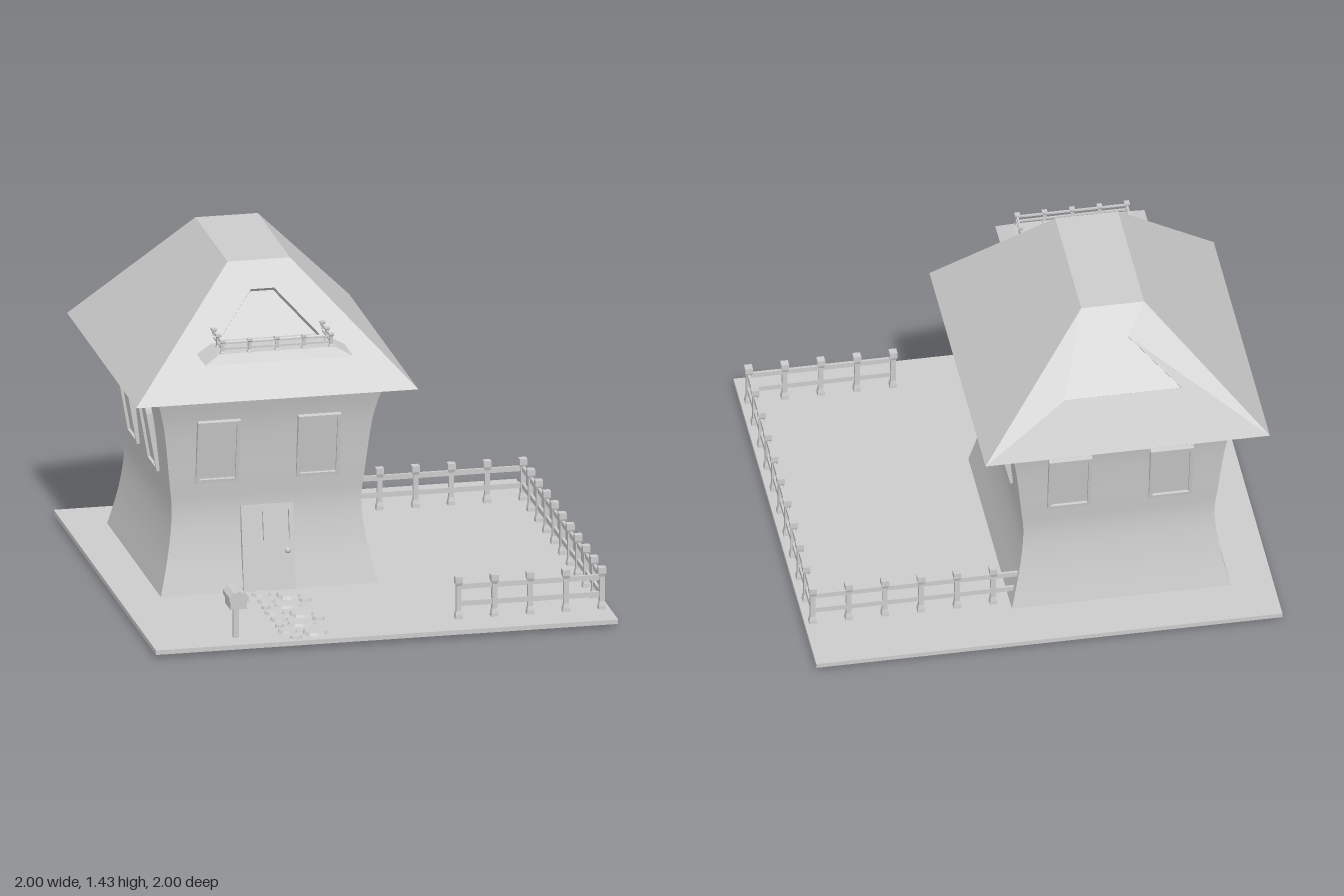
import * as THREE from 'three';

const material = new THREE.MeshStandardMaterial({ color: 0xcccccc });
const V = (x, y, z) => new THREE.Vector3(x, y, z);

function add(parent, geometry, name, x = 0, y = 0, z = 0) {
  const mesh = new THREE.Mesh(geometry, material);
  mesh.name = name;
  mesh.position.set(x, y, z);
  parent.add(mesh);
  return mesh;
}

function group(parent, name, x = 0, y = 0, z = 0) {
  const g = new THREE.Group();
  g.name = name;
  g.position.set(x, y, z);
  parent.add(g);
  return g;
}

// Flat-sided surface from a list of four-cornered faces
function quads(faces) {
  const points = faces.flatMap(([a, b, c, d]) => [a, b, c, a, c, d]);
  const geometry = new THREE.BufferGeometry().setFromPoints(points);
  geometry.computeVertexNormals();
  return geometry;
}

const extrude = (shape, depth) =>
  new THREE.ExtrudeGeometry(shape, { depth, bevelEnabled: false, curveSegments: 12 });

// Rectangle, or a panel with a pointed-round top, standing on y = y0
function panel(x0, y0, x1, y1, arch = 0) {
  const s = new THREE.Shape();
  s.moveTo(x0, y0);
  s.lineTo(x1, y0);
  s.lineTo(x1, y1 - arch);
  if (arch) {
    const m = (x0 + x1) / 2;
    s.bezierCurveTo(x1 - 0.01, y1 - arch * 0.3, m + 0.04, y1, m, y1);
    s.bezierCurveTo(m - 0.04, y1, x0 + 0.01, y1 - arch * 0.3, x0, y1 - arch);
  } else s.lineTo(x0, y1);
  s.closePath();
  return s;
}

// One curved wall facing +z; side walls swap the two half widths
function wall(extraWidth, extraDepth) {
  const curve = new THREE.SplineCurve([
    [0.47, 0.035], [0.43, 0.21], [0.41, 0.38], [0.423, 0.53], [0.452, 0.77], [0.495, 0.932],
  ].map(p => new THREE.Vector2(...p)));
  const positions = [], index = [], rows = 24;
  for (let i = 0; i <= rows; i++) {
    const { x: r, y } = curve.getPoint(i / rows);
    positions.push(-r - extraWidth, y, r + extraDepth, r + extraWidth, y, r + extraDepth);
    const k = i * 2;
    if (i < rows) index.push(k, k + 1, k + 3, k, k + 3, k + 2);
  }
  const geometry = new THREE.BufferGeometry();
  geometry.setAttribute('position', new THREE.Float32BufferAttribute(positions, 3));
  geometry.setIndex(index);
  geometry.computeVertexNormals();
  return geometry;
}

function addWindow(parent, x, z, tilt, width, height, arch) {
  const g = group(parent, 'window', x, 0.515, z);
  g.rotation.x = tilt;
  const w = width / 2, t = 0.015;
  const frame = panel(-w, 0, w, height, arch);
  frame.holes.push(panel(-w + t, t, w - t, height - t, arch));
  add(g, extrude(frame, 0.05), 'windowFrame', 0, 0, -0.05);
  add(g, extrude(panel(-w + t, t, w - t, height - t, arch), 0.038), 'windowPane', 0, 0, -0.05);
}

function addDoor(parent) {
  const g = group(parent, 'door', 0, 0.035, 0.535);
  g.rotation.x = -0.16;
  const face = panel(-0.113, 0, 0.113, 0.37);
  for (const x of [-0.056, 0.056]) face.holes.push(panel(x - 0.037, 0.215, x + 0.037, 0.34));
  add(g, extrude(face, 0.015), 'doorFace', 0, 0, -0.015);
  add(g, extrude(panel(-0.113, 0, 0.113, 0.37), 0.035), 'doorSlab', 0, 0, -0.05);
  add(g, new THREE.SphereGeometry(0.013, 16, 12), 'doorKnob', 0.08, 0.17, 0.014);
}

// Sloping roof end with a recessed trapezoid panel
function roofEnd(lowX, lowZ, highX, highZ, depth) {
  const ring = (x0, y0, z0, x1, y1, z1) =>
    [V(-x0, y0, z0), V(x0, y0, z0), V(x1, y1, z1), V(-x1, y1, z1)];
  const outer = ring(0.61, 0.93, 0.678, 0.135, 1.435, 0.315);
  const inner = ring(lowX, 1.15, lowZ, highX, 1.33, highZ);
  const inward = V(0, -0.58, -0.81).multiplyScalar(depth);
  const back = inner.map(p => p.clone().add(inward));
  const faces = [back];
  for (let i = 0; i < 4; i++) {
    const j = (i + 1) % 4;
    faces.push([outer[i], outer[j], inner[j], inner[i]], [inner[i], inner[j], back[j], back[i]]);
  }
  return quads(faces);
}

// Posts with flared ends joined by two rails, from a to b
function addFence(parent, name, a, b, count, height, width) {
  const g = group(parent, name);
  const profile = [[0, 0], [0.55, 0], [0.5, 0.1], [0.36, 0.2], [0.36, 0.78], [0.55, 0.86], [0.55, 1], [0, 1]]
    .map(([r, y]) => new THREE.Vector2(r * width * Math.SQRT2, y * height));
  const post = new THREE.LatheGeometry(profile, 4, Math.PI / 4).toNonIndexed();
  post.computeVertexNormals();
  for (let i = 0; i < count; i++) {
    const p = a.clone().lerp(b, i / (count - 1));
    add(g, post, 'fencePost', p.x, p.y, p.z);
  }
  const mid = a.clone().lerp(b, 0.5);
  for (const f of [0.36, 0.76]) {
    const rail = add(g, new THREE.BoxGeometry(a.distanceTo(b), height * 0.12, width * 0.4),
      'fenceRail', mid.x, mid.y + f * height, mid.z);
    rail.rotation.y = Math.atan2(a.z - b.z, b.x - a.x);
  }
}

export function createModel() {
  const model = new THREE.Group();
  model.name = 'cottage';
  add(model, new THREE.BoxGeometry(2, 0.02, 2), 'ground', 0, 0.025, 0);

  // House walls, with windows on each side and the door in front
  const house = group(model, 'house', -0.35, 0, -0.243);
  for (let k = 0; k < 4; k++) {
    const side = group(house, ['frontWall', 'leftWall', 'backWall', 'rightWall'][k]);
    side.rotation.y = k * Math.PI / 2;
    const gable = k % 2 === 0;
    add(side, gable ? wall(0, 0.055) : wall(0.055, 0), 'wall');
    for (const s of [-1, 1]) {
      if (gable) addWindow(side, s * 0.2175, 0.487, 0.17, 0.185, 0.285, 0);
      else addWindow(side, s * 0.195, 0.435, 0.172, 0.18, 0.345, 0.085);
    }
    if (k === 0) addDoor(side);
  }

  // Hipped roof
  const roof = group(house, 'roof');
  const e = [V(-0.61, 0.93, 0.678), V(0.61, 0.93, 0.678), V(0.61, 0.93, -0.678), V(-0.61, 0.93, -0.678)];
  const t = [V(-0.135, 1.435, 0.315), V(0.135, 1.435, 0.315), V(0.135, 1.435, -0.315), V(-0.135, 1.435, -0.315)];
  add(roof, quads([t, [e[1], e[2], t[2], t[1]], [e[3], e[0], t[0], t[3]], [e[3], e[2], e[1], e[0]]]), 'roofSlopes');
  add(roof, roofEnd(0.22, 0.52, 0.05, 0.39, 0.03), 'roofFront');
  add(roof, roofEnd(0.25, 0.567, 0.05, 0.41, 0.008), 'roofBack').rotation.y = Math.PI;

  // Balcony with a sloping rim and a small railing
  const balcony = group(model, 'balcony', -0.35, 0, 0);
  const low = [V(-0.32, 1.11, 0.475), V(0.32, 1.11, 0.475), V(0.32, 1.11, 0.22), V(-0.32, 1.11, 0.22)];
  const top = [V(-0.25, 1.145, 0.435), V(0.25, 1.145, 0.435), V(0.25, 1.145, 0.22), V(-0.25, 1.145, 0.22)];
  add(balcony, quads([top, [...low].reverse(),
    ...low.map((p, i) => [p, low[(i + 1) % 4], top[(i + 1) % 4], top[i]])]), 'balconyFloor');
  addFence(balcony, 'balconyRailing', V(-0.235, 1.143, 0.425), V(0.235, 1.143, 0.425), 5, 0.06, 0.02);
  for (const x of [-0.235, 0.235])
    addFence(balcony, 'balconyRailing', V(x, 1.143, 0.425), V(x, 1.143, 0.255), 3, 0.06, 0.02);

  // Garden fence
  addFence(model, 'frontFence', V(0.345, 0.033, 0.835), V(0.965, 0.033, 0.835), 5, 0.187, 0.03);
  addFence(model, 'sideFence', V(0.965, 0.033, 0.835), V(0.965, 0.033, -0.71), 11, 0.187, 0.03);
  addFence(model, 'backFence', V(0.19, 0.033, -0.71), V(0.965, 0.033, -0.71), 6, 0.187, 0.03);
  add(model, new THREE.BoxGeometry(0.12, 0.022, 0.012), 'fenceRail', 0.13, 0.175, -0.71);
  add(model, new THREE.BoxGeometry(0.12, 0.022, 0.012), 'fenceRail', 0.13, 0.1, -0.71);

  // Mailbox
  const mailbox = group(model, 'mailbox', -0.63, 0, 0.89);
  add(mailbox, new THREE.BoxGeometry(0.024, 0.18, 0.024), 'mailboxPost', 0, 0.09, 0);
  const box = new THREE.Shape([[-0.036, 0.175], [0.036, 0.175], [0.036, 0.21], [-0.036, 0.21]]
    .map(p => new THREE.Vector2(...p)));
  add(mailbox, extrude(box, 0.105), 'mailboxBody', 0, 0, -0.05);
  const lid = new THREE.Shape([[-0.042, 0.21], [0.042, 0.21], [0.042, 0.23], [0.022, 0.248],
    [0, 0.254], [-0.022, 0.248], [-0.042, 0.23]].map(p => new THREE.Vector2(...p)));
  add(mailbox, extrude(lid, 0.125), 'mailboxLid', 0, 0, -0.062);

  // Stepping stones: x, z, half width, half depth
  const stones = [
    [-0.29, 0.38, 0.055, 0.06], [-0.4, 0.345, 0.045, 0.036], [-0.4, 0.44, 0.04, 0.035],
    [-0.235, 0.46, 0.027, 0.027], [-0.32, 0.515, 0.065, 0.045], [-0.42, 0.53, 0.02, 0.02],
    [-0.4, 0.605, 0.046, 0.036], [-0.29, 0.64, 0.055, 0.06], [-0.4, 0.7, 0.04, 0.035],
    [-0.235, 0.72, 0.027, 0.027], [-0.32, 0.775, 0.065, 0.045], [-0.42, 0.79, 0.02, 0.02],
    [-0.4, 0.865, 0.046, 0.037], [-0.29, 0.9, 0.055, 0.06], [-0.385, 0.955, 0.028, 0.025],
  ];
  const stone = new THREE.CylinderGeometry(0.85, 1, 0.014, 9).toNonIndexed();
  stone.computeVertexNormals();
  for (const [x, z, rx, rz] of stones)
    add(model, stone, 'steppingStone', x, 0.04, z).scale.set(rx, 1, rz);

  return model;
}
